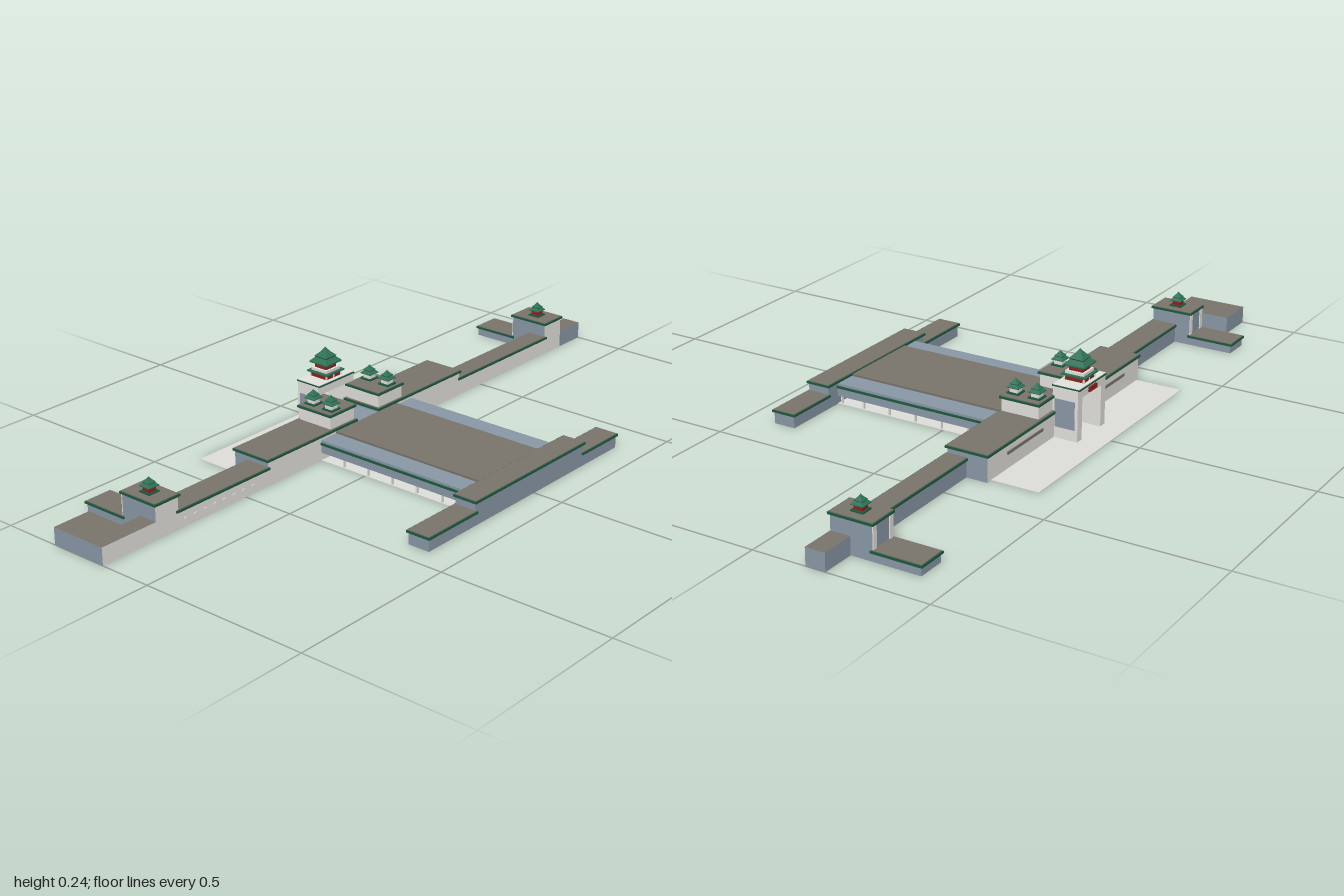
import * as THREE from 'three';

const paint = (name, color) => Object.assign(new THREE.MeshStandardMaterial({ color }), { name });

export function createModel() {
  const light = paint('pale stone', 0xe6e5df);
  const blue = paint('blue grey stone', 0x8b9aa8);
  const brown = paint('brown paving', 0x7a766c);
  const trim = paint('dark green trim', 0x1f5a41);
  const green = paint('roof green', 0x2f7055);
  const red = paint('red timber', 0x8e2420);
  const ground = paint('ground grey', 0xe0e0dd);

  const model = new THREE.Group();
  model.name = 'palaceGateAndWalls';

  // Box given by its limits on each axis
  function box(parent, name, x0, x1, y0, y1, z0, z1, mat) {
    const mesh = new THREE.Mesh(new THREE.BoxGeometry(x1 - x0, y1 - y0, z1 - z0), mat);
    mesh.position.set((x0 + x1) / 2, (y0 + y1) / 2, (z0 + z1) / 2);
    mesh.name = name;
    parent.add(mesh);
  }

  // Masonry with its own colour on front, sides and back
  const masonry = (front, side, back) => [side, side, brown, ground, front, back];

  // Wall with a green coping and a paved top
  function wall(name, x0, x1, z0, z1, h, mats, coping = true, y0 = 0) {
    const g = new THREE.Group();
    g.name = name;
    box(g, name + 'Body', x0, x1, y0, coping ? h - 0.008 : h, z0, z1, mats);
    if (coping) {
      const o = 0.005;
      box(g, name + 'Coping', x0 - o, x1 + o, h - 0.008, h - 0.002, z0 - o, z1 + o, trim);
      box(g, name + 'Paving', x0 - 0.002, x1 + 0.002, h - 0.002, h, z0 - 0.002, z1 + 0.002, brown);
    }
    model.add(g);
  }

  // Square two-tiered roof with flared eaves
  function roof(parent, name, x, y, z, half, height) {
    const profile = [[0, 0], [1, 0], [1, 0.08], [0.62, 0.34], [0.68, 0.42], [0.32, 0.68], [0.11, 0.88], [0, 1]]
      .map(([r, t]) => new THREE.Vector2(r * half * Math.SQRT2, t * height));
    const geo = new THREE.LatheGeometry(profile, 4).toNonIndexed();
    geo.computeVertexNormals();
    const mesh = new THREE.Mesh(geo, green);
    mesh.rotation.y = Math.PI / 4;
    mesh.position.set(x, y, z);
    mesh.name = name;
    parent.add(mesh);
  }

  const square = (p, name, x, z, half, y0, y1, mat) =>
    box(p, name, x - half, x + half, y0, y1, z - half, z + half, mat);

  function pavilion(name, x, y, z, bodyMat) {
    const g = new THREE.Group();
    g.name = name;
    square(g, 'pavilionBase', x, z, 0.018, y, y + 0.004, trim);
    square(g, 'pavilionBody', x, z, 0.012, y + 0.004, y + 0.018, bodyMat);
    roof(g, 'pavilionRoof', x, y + 0.017, z, 0.018, 0.026);
    model.add(g);
  }

  const allBlue = masonry(blue, blue, blue);
  const paleFront = masonry(light, blue, blue);
  const allPale = masonry(light, light, light);

  // Front outer wall, taller in the middle
  wall('frontWallCentre', -0.25, 0.22, 0.345, 0.41, 0.071, allBlue);
  wall('frontWallRight', -0.437, -0.25, 0.345, 0.41, 0.042, allBlue);
  wall('frontWallLeft', 0.22, 0.377, 0.345, 0.41, 0.042, allBlue);

  // Causeway with blue margins, a paved middle and a row of thin posts
  box(model, 'causewayGround', -0.205, 0.177, 0, 0.002, -0.155, 0.345, ground);
  box(model, 'causewayBase', -0.205, 0.177, 0.024, 0.061, -0.155, 0.345, blue);
  box(model, 'causewayDeck', -0.145, 0.112, 0.061, 0.067, -0.155, 0.345, brown);
  for (const s of [-1, 1]) {
    const edge = s * 0.191 - 0.014;
    box(model, 'causewayEdgeTrim', edge - 0.004, edge + 0.004, 0.048, 0.054, -0.155, 0.345, trim);
    for (let i = 0; i < 6; i++) {
      const z = 0.346 - (i || 0.15) * 0.0846;
      const x = edge - s * 0.006;
      box(model, 'causewayPost', x - 0.004, x + 0.004, 0, 0.024, z - 0.002, z + 0.002, light);
    }
  }

  // Ground behind the gate
  box(model, 'rearGround', -0.41, 0.377, 0, 0.002, -0.415, -0.27, ground);

  // Middle stretch of the main wall, split by the passage
  wall('middleWallRight', -0.415, -0.065, -0.275, -0.155, 0.078, masonry(light, blue, light));
  wall('middleWallLeft', 0.033, 0.395, -0.275, -0.155, 0.078, masonry(light, blue, light));
  box(model, 'passageFloor', -0.065, 0.033, 0, 0.064, -0.275, -0.155, [blue, blue, blue, ground, blue, blue]);
  for (const x of [-0.24, 0.21])
    box(model, 'rearSlot', x - 0.09, x + 0.09, 0.042, 0.05, -0.278, -0.274, brown);

  // Lower wings of the main wall, with small pale blocks on one face
  wall('wingWallRight', -0.745, -0.415, -0.228, -0.155, 0.056, paleFront);
  wall('wingWallLeft', 0.395, 0.82, -0.212, -0.155, 0.056, paleFront);
  for (let i = 0; i < 8; i++) {
    const x = -0.72 + i * 0.035;
    box(model, 'wallBlock', x - 0.004, x + 0.004, 0.022, 0.027, -0.156, -0.152, light);
  }

  // End towers, each with rear corner strips and a low wall running back
  for (const [side, x0, x1] of [['Right', -0.82, -0.742], ['Left', 0.818, 0.9]]) {
    wall('endTower' + side, x0, x1, -0.275, -0.155, 0.101, paleFront);
    wall('rearWall' + side, x0, x1, -0.41, -0.275, 0.031, allBlue);
    for (const x of [x0, x1 - 0.014])
      box(model, 'rearCornerStrip', x, x + 0.014, 0.031, 0.093, -0.278, -0.274, light);
    pavilion('endPavilion' + side, (x0 + x1) / 2, 0.101, -0.215, red);
  }

  // Plain end blocks
  wall('endBlockRight', -1, -0.885, -0.33, -0.155, 0.05, paleFront, false);
  wall('endLinkRight', -0.885, -0.82, -0.21, -0.155, 0.05, paleFront, false);
  wall('endBlockLeft', 0.9, 1, -0.212, -0.155, 0.05, allBlue, false);

  // Twin gate towers with two pavilions each
  for (const [side, x0, x1] of [['Right', -0.165, -0.067], ['Left', 0.035, 0.135]]) {
    wall('gateTower' + side, x0, x1, -0.27, -0.157, 0.122, allPale, true, 0.076);
    for (const z of [-0.18, -0.245])
      pavilion('gatePavilion' + side, side === 'Left' ? 0.1 : -0.135, 0.122, z, light);
  }

  // Main gate: two piers, lintel and a two-storey pagoda
  const gate = new THREE.Group();
  gate.name = 'mainGate';
  model.add(gate);
  const cx = -0.014, cz = -0.308;
  for (const s of [-1, 1]) {
    const px = cx + s * 0.063;
    box(gate, 'gatePier', px - 0.012, px + 0.012, 0, 0.122, -0.346, -0.27, light);
    const face = cx + s * 0.0755;
    box(gate, 'pierPanel', face - 0.001, face + 0.001, 0.034, 0.114, -0.337, -0.277, blue);
  }
  box(gate, 'gateLintel', cx - 0.075, cx + 0.075, 0.122, 0.146, -0.346, -0.27, light);
  box(gate, 'rearPlaque', cx - 0.02, cx + 0.02, 0.128, 0.141, -0.352, -0.345, red);
  box(gate, 'gateCoping', cx - 0.073, cx + 0.073, 0.146, 0.15, -0.35, -0.266, trim);
  box(gate, 'gateTerrace', cx - 0.072, cx + 0.072, 0.15, 0.152, -0.348, -0.268, light);
  square(gate, 'lowerStorey', cx, cz, 0.029, 0.152, 0.167, red);
  for (const sx of [-1, 0, 1])
    for (const sz of [-1, 1])
      square(gate, 'column', cx + sx * 0.029, cz + sz * 0.029, 0.002, 0.152, 0.167, light);
  square(gate, 'lowerEave', cx, cz, 0.037, 0.166, 0.17, green);
  square(gate, 'balcony', cx, cz, 0.028, 0.17, 0.178, light);
  square(gate, 'upperStorey', cx, cz, 0.021, 0.178, 0.194, red);
  roof(gate, 'upperRoof', cx, 0.193, cz, 0.032, 0.044);

  return model;
}
